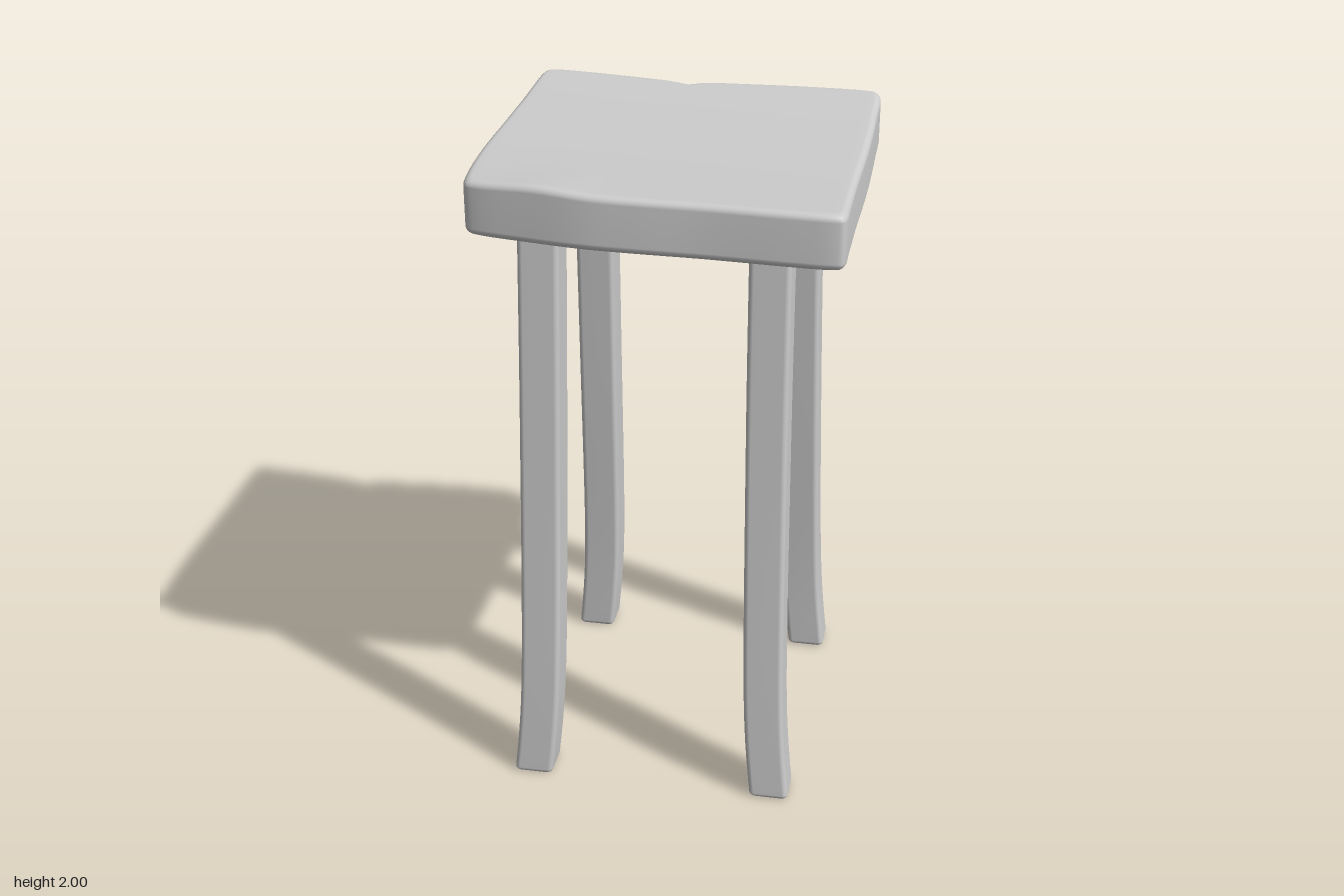
import * as THREE from 'three';

const material = new THREE.MeshStandardMaterial({ color: 0xcccccc });

// Skin a closed outline of [x, z] points through layers of { scale, y }, from bottom to top;
// place(x, y, z) bends each point into its final position.
function loft(name, outline, layers, place) {
  const n = outline.length, positions = [], index = [];
  layers.forEach(({ scale, y }, j) => {
    outline.forEach(([x, z], i) => {
      positions.push(...place(x * scale, y, z * scale));
      if (j === layers.length - 1) return;
      const a = j * n + i, b = j * n + (i + 1) % n;
      index.push(a, a + n, b, b, a + n, b + n);
    });
  });
  const geometry = new THREE.BufferGeometry();
  geometry.setAttribute('position', new THREE.Float32BufferAttribute(positions, 3));
  geometry.setIndex(index);
  geometry.computeVertexNormals();
  const mesh = new THREE.Mesh(geometry, material);
  mesh.name = name;
  return mesh;
}

// Layers of a block with closed ends and rounded rims
function blockLayers(y0, y1, half, r, capScales, sideSteps) {
  const bottom = capScales.map((scale) => ({ scale, y: y0 }));
  for (let k = 0; k <= 5; k++) {
    const a = (k / 5) * Math.PI / 2;
    bottom.push({ scale: 1 - r * (1 - Math.sin(a)) / half, y: y0 + r * (1 - Math.cos(a)) });
  }
  const top = bottom.map(({ scale, y }) => ({ scale, y: y0 + y1 - y })).reverse();
  const sides = [];
  for (let k = 1; k < sideSteps; k++) {
    sides.push({ scale: 1, y: THREE.MathUtils.lerp(y0 + r, y1 - r, k / sideSteps) });
  }
  return [...bottom, ...sides, ...top];
}

// Uneven seat slab with a notch in the back edge and a gentle dip from front to back
function makeSeat() {
  const corners = [
    [-0.579, -0.495], [-0.573, -0.517], [-0.55, -0.527], [-0.48, -0.53], [-0.3, -0.525],
    [-0.16, -0.515], [-0.115, -0.504], [-0.098, -0.499], [-0.08, -0.507], [-0.05, -0.525],
    [0.1, -0.55], [0.3, -0.575], [0.47, -0.585], [0.497, -0.581], [0.51, -0.56], [0.527, -0.38],
    [0.546, -0.1], [0.56, 0.2], [0.573, 0.4], [0.579, 0.5], [0.573, 0.521], [0.55, 0.53],
    [0.45, 0.54], [0.2, 0.553], [0, 0.572], [-0.15, 0.581], [-0.3, 0.573], [-0.46, 0.556],
    [-0.482, 0.545], [-0.5, 0.49], [-0.528, 0.33], [-0.546, 0.17], [-0.56, -0.05], [-0.57, -0.25],
  ].map(([x, z]) => new THREE.Vector3(x, 0, z));
  const curve = new THREE.CatmullRomCurve3(corners, true, 'centripetal');
  const outline = curve.getPoints(204).slice(0, -1).map((p) => [p.x, p.z]);
  const layers = blockLayers(1.811, 1.973, 0.56, 0.022, [0, 0.2, 0.4, 0.6, 0.8, 0.92], 2);
  const dip = (x, z) => -0.02 * x + (z > 0.1 ? 0.024 : 0.02) * ((z - 0.1) / 0.6) ** 2;
  // small swelling on top of the front edge
  const swell = (x, y, z) => (y > 1.9 ? 0.009 : 0) * Math.exp(-(((x + 0.27) / 0.12) ** 2) - ((z - 0.58) / 0.15) ** 2);
  return loft('seat', outline, layers, (x, y, z) => [x, y + dip(x, z) + swell(x, y, z), z]);
}

// Rounded square section, turned a little about the vertical
function legSection(half, r, turn) {
  const points = [];
  for (let q = 0; q < 4; q++) {
    const mid = (q + 0.5) * Math.PI / 2;
    const cx = Math.sign(Math.cos(mid)) * (half - r), cz = Math.sign(Math.sin(mid)) * (half - r);
    for (let k = 0; k <= 5; k++) {
      const a = (q + k / 5) * Math.PI / 2;
      const x = cx + r * Math.cos(a), z = cz + r * Math.sin(a);
      points.push([x * Math.cos(turn) + z * Math.sin(turn), z * Math.cos(turn) - x * Math.sin(turn)]);
    }
  }
  return points;
}

// Leg centre lines as [offset, height]: splayed, and kicked out near the floor
const sideways = {
  right: [[-0.382, 0], [-0.354, 0.36], [-0.341, 1.2], [-0.335, 1.85]],
  left: [[0.377, 0], [0.349, 0.36], [0.333, 1.2], [0.327, 1.85]],
};
const depth = {
  front: [[0.456, 0], [0.439, 0.36], [0.404, 1], [0.362, 1.85]],
  back: [[-0.438, 0], [-0.426, 0.36], [-0.389, 1], [-0.346, 1.85]],
};

function centreLine(points) {
  const curve = new THREE.SplineCurve(points.map(([o, y]) => new THREE.Vector2(o, y)));
  const samples = curve.getPoints(90);
  return (y) => {
    const i = Math.max(1, samples.findIndex((p) => p.y >= y));
    const a = samples[i - 1], b = samples[i];
    return THREE.MathUtils.mapLinear(y, a.y, b.y, a.x, b.x);
  };
}

export function createModel() {
  const model = new THREE.Group();
  model.name = 'stool';
  model.add(makeSeat());

  // Four legs, their layout twisted slightly in line with the seat
  const skew = 0.022;
  const section = legSection(0.061, 0.016, 0.06);
  const layers = blockLayers(0.003, 1.835, 0.061, 0.016, [0, 0.5], 30);
  for (const [end, zPoints] of Object.entries(depth)) {
    for (const [side, xPoints] of Object.entries(sideways)) {
      const cx = centreLine(xPoints), cz = centreLine(zPoints);
      const dx = end === 'front' ? skew : -skew, dz = side === 'left' ? -skew : skew;
      const name = end + (side === 'left' ? 'Left' : 'Right') + 'Leg';
      model.add(loft(name, section, layers, (x, y, z) => [x + cx(y) + dx, y, z + cz(y) + dz]));
    }
  }
  return model;
}
